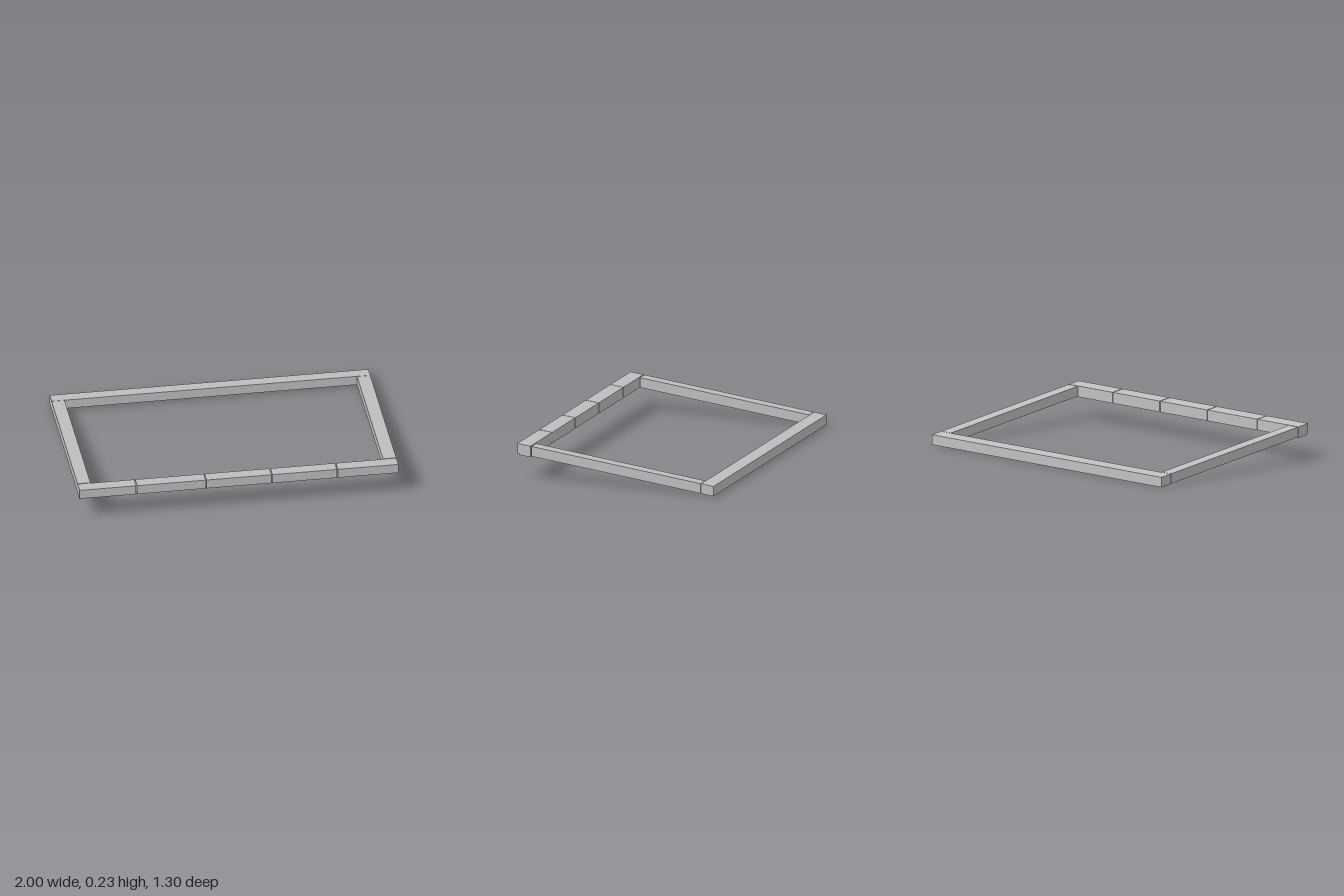
import * as THREE from 'three';

const SLOPE = 0.126, HALF_DEPTH = 0.65, HEIGHT = 0.063;

// Box between x0..x1 and z0..z1, sheared so it follows the slope while its ends stay upright.
function slopedBar(name, x0, x1, z0, z1, material, bottom = 0, height = HEIGHT) {
  const geometry = new THREE.BoxGeometry(x1 - x0, height, z1 - z0);
  geometry.translate((x0 + x1) / 2, bottom + height / 2, (z0 + z1) / 2);
  const p = geometry.attributes.position;
  for (let i = 0; i < p.count; i++) {
    p.setY(i, p.getY(i) + SLOPE * (p.getZ(i) + HALF_DEPTH));
  }
  geometry.computeVertexNormals();
  const mesh = new THREE.Mesh(geometry, material);
  mesh.name = name;
  return mesh;
}

export function createModel() {
  const model = new THREE.Group();
  model.name = 'slopedFrame';
  const stone = new THREE.MeshStandardMaterial({ color: 0xc0c0c0 });
  stone.name = 'grey stone';

  // Long low beam at the back
  model.add(slopedBar('backBeam', -1, 1, -0.65, -0.568, stone));

  // Side rails
  model.add(slopedBar('rightRail', -1, -0.919, -0.565, 0.558, stone));
  model.add(slopedBar('leftRail', 0.917, 1, -0.565, 0.558, stone));

  // Front row of five blocks with narrow joints, each with a shallow ledge beneath
  const joints = [-1.003, -0.642, -0.206, 0.207, 0.617, 1.003];
  for (let i = 0; i < 5; i++) {
    const x0 = joints[i] + 0.003, x1 = joints[i + 1] - 0.003;
    const block = new THREE.Group();
    block.name = 'frontBlock' + (i + 1);
    block.add(slopedBar('blockBody', x0, x1, 0.564, 0.65, stone));
    block.add(slopedBar('blockLedge', x0, x1, 0.566, 0.637, stone, -0.007, 0.01));
    model.add(block);
  }
  return model;
}
